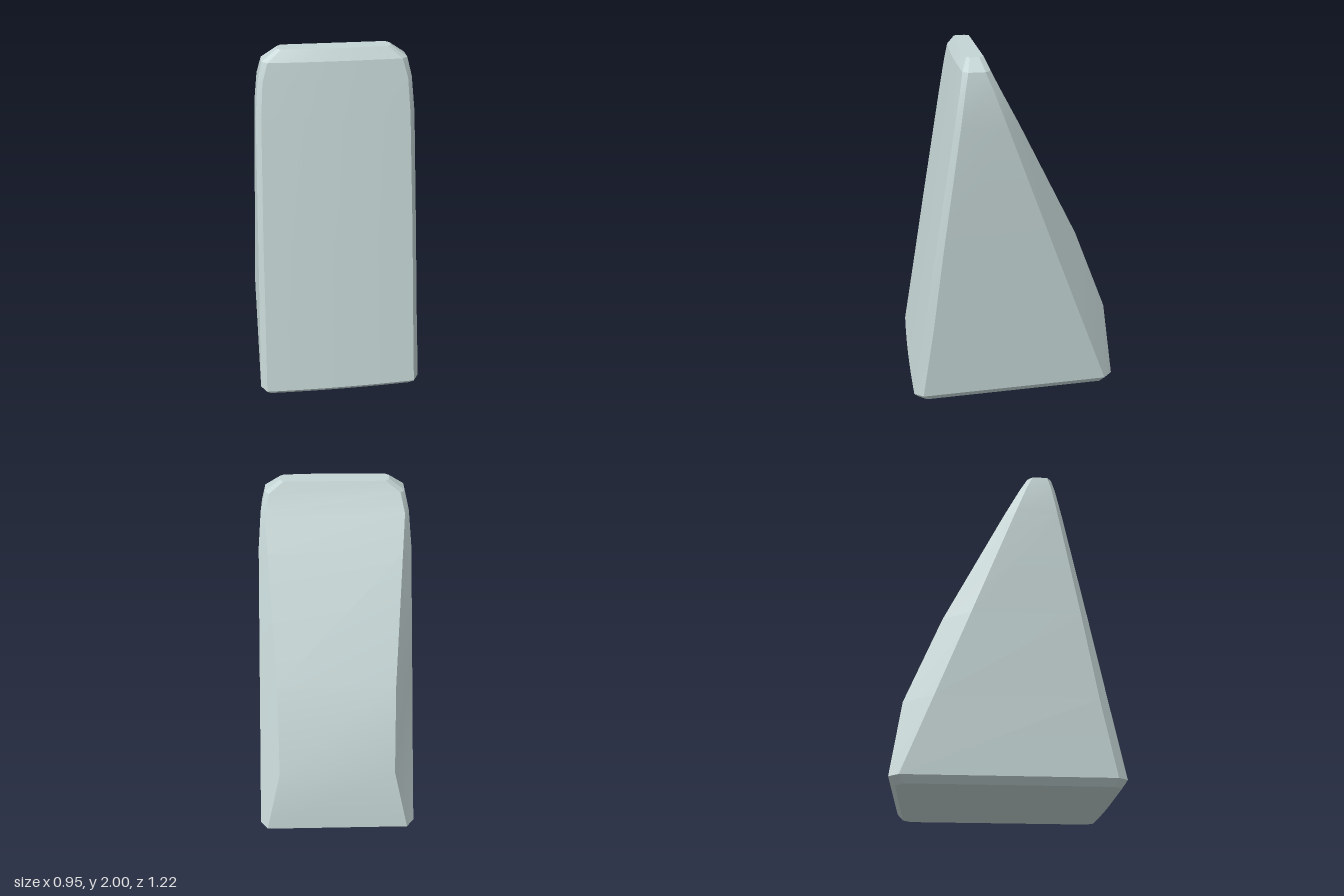
import * as THREE from 'three';
import { toCreasedNormals } from 'three/addons/utils/BufferGeometryUtils.js';

// Level: y, front z, front half width, side front z, side half width,
// side back z, back z, back half width
const LEVELS = [
  [0.00, 0.570, 0.42, 0.530, 0.450, -0.530, -0.575, 0.41],
  [0.04, 0.602, 0.44, 0.550, 0.475, -0.555, -0.610, 0.43],
  [0.47, 0.526, 0.43, 0.475, 0.462, -0.395, -0.565, 0.34],
  [0.97, 0.439, 0.42, 0.400, 0.448, -0.210, -0.370, 0.34],
  [1.65, 0.319, 0.40, 0.290, 0.428, 0.040, -0.030, 0.375],
  [1.84, 0.285, 0.385, 0.260, 0.410, 0.110, 0.070, 0.385],
  [1.94, 0.267, 0.355, 0.240, 0.385, 0.150, 0.120, 0.360],
  [2.00, 0.235, 0.280, 0.220, 0.300, 0.170, 0.145, 0.280],
];

// Chamfered outline with a gently bowed front, anticlockwise from above
function section([y, zf, wf, zfs, ws, zbs, zb, wb]) {
  const bow = [0, 0.25, 0.5, 0.75].map((t) => [wf * t, zf + 0.009 * (1 - t * t)]);
  const half = [...bow, [wf, zf], [ws, zfs], [ws, zbs], [wb, zb]];
  const mirrored = half.slice(1).reverse().map(([x, z]) => [-x, z]);
  return [...half, ...mirrored].map(([x, z]) => [x, y, z]);
}

// Skin the sections and close both ends
function loft(rings) {
  const n = rings[0].length;
  const positions = [];
  const triangle = (a, b, c) => positions.push(...a, ...b, ...c);
  for (let i = 0; i < rings.length - 1; i++) {
    for (let j = 0; j < n; j++) {
      const k = (j + 1) % n;
      const lower = rings[i], upper = rings[i + 1];
      triangle(lower[j], lower[k], upper[k]);
      triangle(lower[j], upper[k], upper[j]);
    }
  }
  const bottom = rings[0], top = rings[rings.length - 1];
  for (let j = 1; j < n - 1; j++) {
    triangle(top[0], top[j], top[j + 1]);
    triangle(bottom[0], bottom[j + 1], bottom[j]);
  }
  const geometry = new THREE.BufferGeometry();
  geometry.setAttribute('position', new THREE.Float32BufferAttribute(positions, 3));
  return toCreasedNormals(geometry, 0.3);
}

export function createModel() {
  const group = new THREE.Group();
  group.name = 'wedgeBlock';

  // Tapered wedge body with bevelled edges
  const material = new THREE.MeshStandardMaterial({ color: 0xc4d4d4 });
  const body = new THREE.Mesh(loft(LEVELS.map(section)), material);
  body.name = 'wedgeBody';
  group.add(body);

  return group;
}
